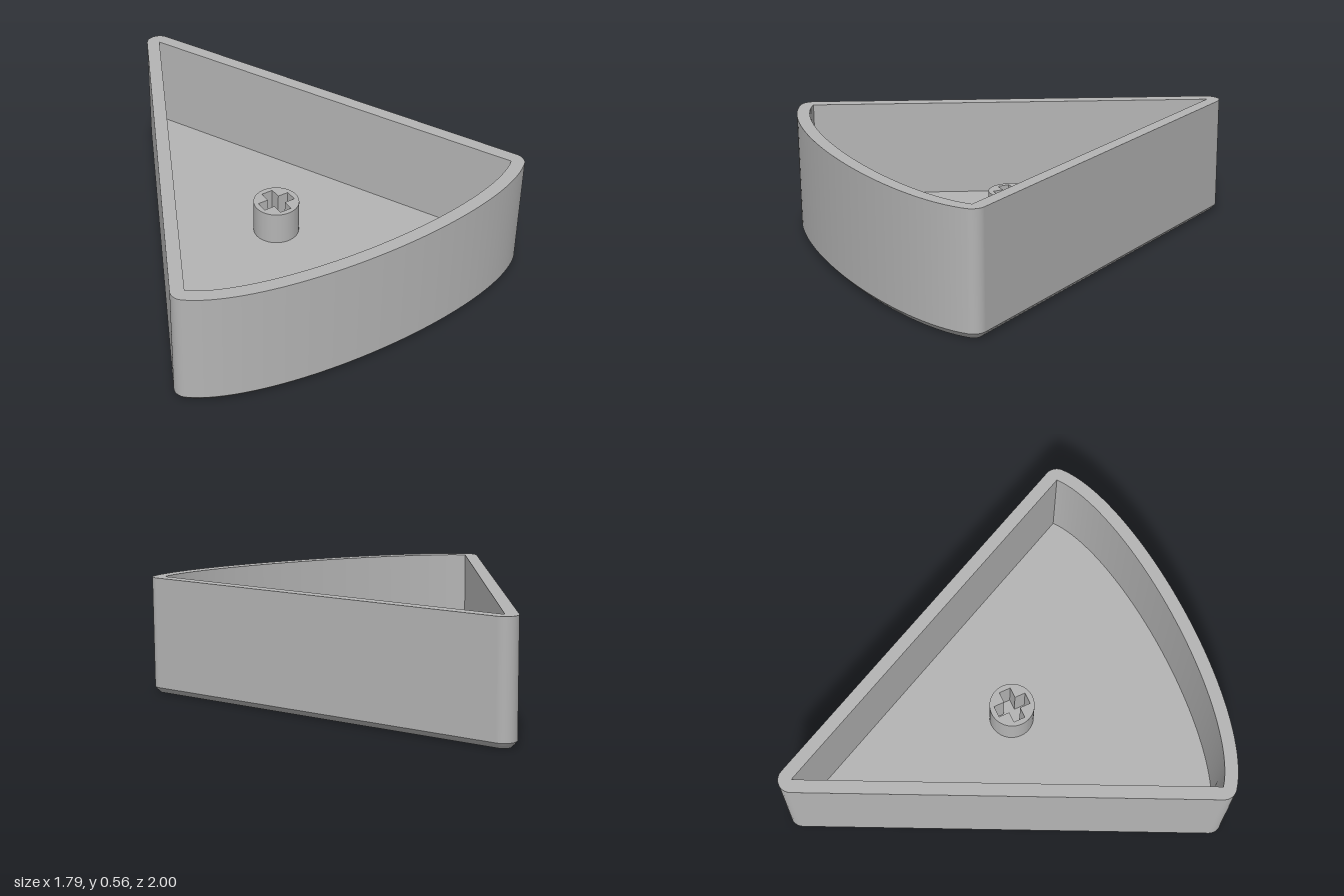
import * as THREE from 'three';
import { toCreasedNormals } from 'three/addons/utils/BufferGeometryUtils.js';

const RIM = 0.06, TOP = 0.56, FLOOR = 0.11, POCKET = 0.04;
const CORNER_X = 0.835, CORNER_Z = 0.765, FRONT_Z = 0.94, APEX_Z = -0.94;

// Inner fan outline as [x, z, normalX, normalZ]; moving along the normals offsets it.
function makeOutline() {
  const pts = [];
  const end = THREE.MathUtils.degToRad(70);
  const a = CORNER_X / Math.sin(end);
  const b = (FRONT_Z - CORNER_Z) / (1 - Math.cos(end));
  const normalAngle = t => Math.atan2(Math.sin(t) / a, Math.cos(t) / b);
  const add = (x, z, phi) => pts.push([x, z, Math.sin(phi), Math.cos(phi)]);
  // curved front
  for (let i = 0; i <= 40; i++) {
    const t = end * (i / 20 - 1);
    add(a * Math.sin(t), FRONT_Z - b + b * Math.cos(t), normalAngle(t));
  }
  // three rounded corners
  const side = Math.atan2(CORNER_Z - APEX_Z, -CORNER_X);
  const front = normalAngle(end), full = Math.PI * 2;
  const corner = (x, z, from, to) => {
    for (let i = 0; i <= 10; i++) add(x, z, from + (to - from) * i / 10);
  };
  corner(CORNER_X, CORNER_Z, front, side);
  corner(0, APEX_Z, side, full - side);
  corner(-CORNER_X, CORNER_Z, full - side, full - front);
  return pts;
}
const outline = makeOutline();

// Sweeps a profile of [offset, height] points around the outline, sharp at each profile point.
function sweep(profile) {
  const pos = [], nor = [], idx = [], n = outline.length;
  for (let k = 0; k < profile.length - 1; k++) {
    const [d0, y0] = profile[k], [d1, y1] = profile[k + 1];
    const len = Math.hypot(d1 - d0, y1 - y0);
    const out = (y1 - y0) / len, up = (d0 - d1) / len;
    const base = pos.length / 3;
    for (const [x, z, nx, nz] of outline) {
      pos.push(x + nx * d0, y0, z + nz * d0, x + nx * d1, y1, z + nz * d1);
      nor.push(nx * out, up, nz * out, nx * out, up, nz * out);
    }
    for (let i = 0; i < n; i++) {
      const p = base + i * 2, q = base + ((i + 1) % n) * 2;
      idx.push(p, q, q + 1, p, q + 1, p + 1);
    }
  }
  const g = new THREE.BufferGeometry();
  g.setAttribute('position', new THREE.Float32BufferAttribute(pos, 3));
  g.setAttribute('normal', new THREE.Float32BufferAttribute(nor, 3));
  g.setIndex(idx);
  return g;
}

// Filled fan shape at an offset from the inner outline.
function fanShape(d) {
  const pts = [];
  for (const [x, z, nx, nz] of outline) {
    const p = new THREE.Vector2(x + nx * d, z + nz * d);
    if (!pts.length || (p.distanceTo(pts[pts.length - 1]) > 1e-4 && p.distanceTo(pts[0]) > 1e-4)) pts.push(p);
  }
  return new THREE.Shape(pts);
}

// Horizontal slab of an x-z shape between two heights.
function slab(shape, y0, y1) {
  const g = new THREE.ExtrudeGeometry(shape, { depth: y1 - y0, bevelEnabled: false, curveSegments: 32 });
  g.rotateX(Math.PI / 2).translate(0, y1, 0);
  return toCreasedNormals(g, 0.5);
}

const circle = (x, z, r) => new THREE.Path().absarc(x, z, r, 0, Math.PI * 2, true);
const polygon = pts => new THREE.Path(pts.map(p => new THREE.Vector2(...p)));

export function createModel() {
  const model = new THREE.Group();
  const grey = new THREE.MeshStandardMaterial({ color: 0xb4b4b4 });
  grey.name = 'plain grey';
  const add = (name, geometry) => {
    const mesh = new THREE.Mesh(geometry, grey);
    mesh.name = name;
    model.add(mesh);
  };

  // Wall with chamfered foot, flat rim and sharp inner corners
  add('wall', sweep([[0.035, 0], [0.05, 0.015], [RIM, 0.028], [RIM, TOP], [0, TOP], [0, FLOOR]]));

  // Floor
  add('floor', slab(fanShape(0), POCKET, FLOOR));

  // Underside with round pockets and a straight groove near the front
  const under = fanShape(0.035);
  const pockets = [[0.525, 0.545], [-0.525, 0.545], [0, 0.65], [0, -0.49], [-0.165, -0.27]];
  for (const [x, z] of pockets) under.holes.push(circle(x, z, 0.113));
  under.holes.push(polygon([[-0.79, 0.767], [-0.79, 0.787], [0.79, 0.787], [0.79, 0.767]]));
  add('underside', slab(under, 0, POCKET));

  // Round post with a cross-shaped socket
  const post = new THREE.Shape().absarc(0, 0.14, 0.105, 0, Math.PI * 2, false);
  const L = 0.08, W = 0.028;
  const cross = [[L, W], [W, W], [W, L], [-W, L], [-W, W], [-L, W],
    [-L, -W], [-W, -W], [-W, -L], [W, -L], [W, -W], [L, -W]];
  post.holes.push(polygon(cross.map(([x, z]) => [x, z + 0.14])));
  add('post', slab(post, FLOOR, 0.27));

  return model;
}
